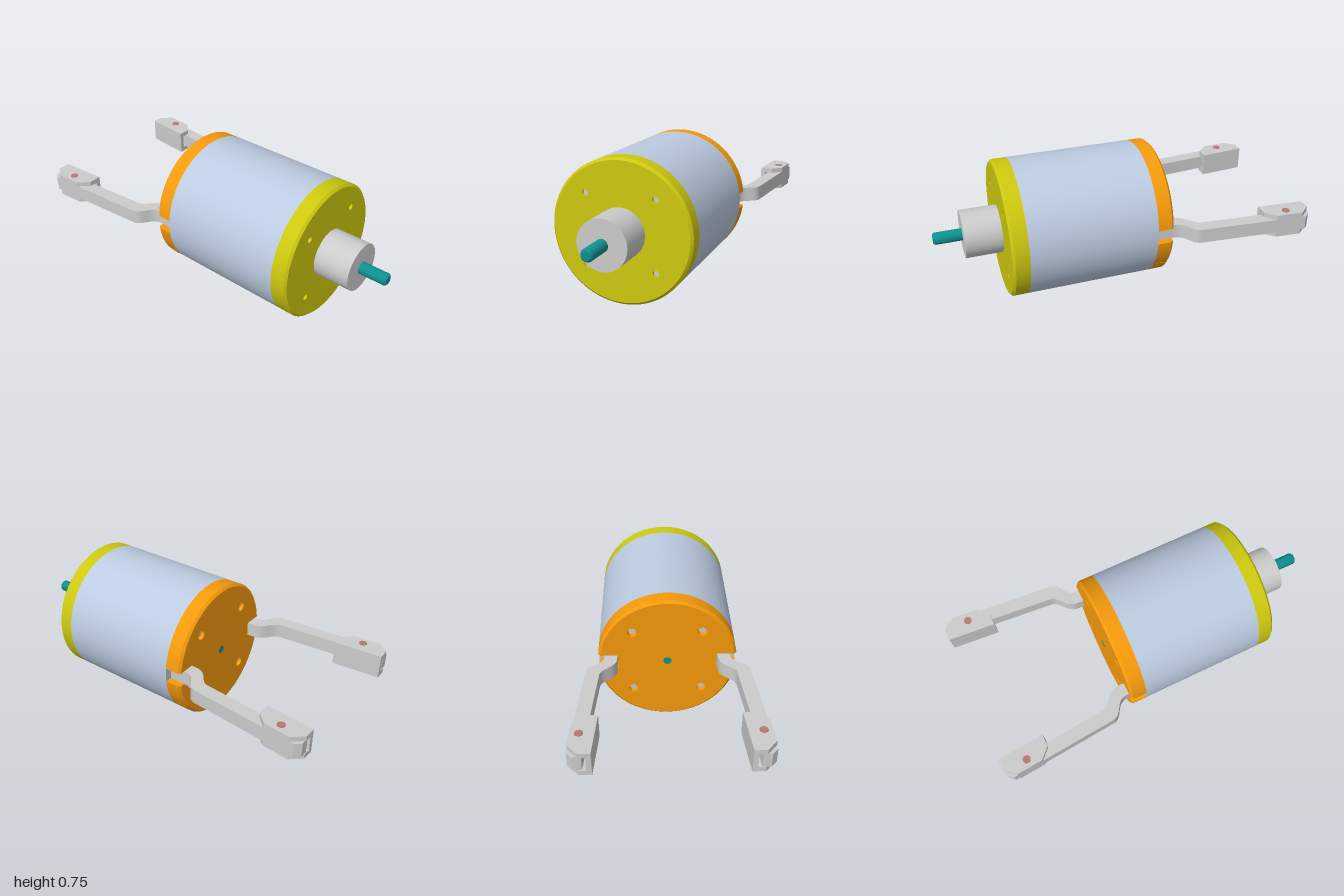
import * as THREE from 'three';
import { toCreasedNormals } from 'three/addons/utils/BufferGeometryUtils.js';

const R = 0.376, CY = 0.376; // housing radius and axis height
const mat = (color) => new THREE.MeshStandardMaterial({ color });
const grey = mat(0xcccccc), steel = mat(0xbccbe0), orange = mat(0xf59a0c);
const yellow = mat(0xcdc80f), teal = mat(0x0f9090), copper = mat(0xb87870);

export function createModel() {
  const model = new THREE.Group();
  const axis = new THREE.Group(); // everything is placed around the housing axis
  axis.name = 'gripper';
  axis.position.y = CY;
  model.add(axis);

  const add = (name, geo, material, x = 0, y = 0, z = 0) => {
    const mesh = new THREE.Mesh(geo, material);
    mesh.name = name;
    mesh.position.set(x, y, z);
    axis.add(mesh);
    return mesh;
  };
  // Cylinder along x between two positions
  const rod = (name, r, x0, x1, material, y = 0, z = 0, sides = 48) =>
    add(name, new THREE.CylinderGeometry(r, r, x1 - x0, sides).rotateZ(-Math.PI / 2), material, (x0 + x1) / 2, y, z);

  // Disc outline, optionally notched at both sides, with four bolt holes
  const plateShape = (holeR, notched) => {
    const s = new THREE.Shape();
    if (notched) {
      const w = 0.041, a = Math.asin(w / R), floor = 0.265;
      s.absarc(0, 0, R, a, Math.PI - a, false);
      s.lineTo(-floor, w);
      s.lineTo(-floor, -w);
      s.absarc(0, 0, R, Math.PI + a, 2 * Math.PI - a, false);
      s.lineTo(floor, -w);
      s.lineTo(floor, w);
      s.closePath();
    } else s.absarc(0, 0, R, 0, Math.PI * 2, false);
    for (const u of [-1, 1]) for (const v of [-1, 1]) {
      const h = new THREE.Path();
      h.absarc(u * 0.187, v * 0.186, holeR, 0, Math.PI * 2, true);
      s.holes.push(h);
    }
    return s;
  };

  // End cap: straight rim plus a chamfered outer layer; dir is the outward x direction
  const cap = (name, x, dir, shape, material) => {
    const base = 0.077, lip = 0.013;
    const make = (depth) => new THREE.ExtrudeGeometry(shape, { depth, bevelEnabled: false, curveSegments: 48 });
    const outer = make(lip), p = outer.attributes.position;
    for (let i = 0; i < p.count; i++) {
      if (p.getZ(i) > lip / 2 && Math.hypot(p.getX(i), p.getY(i)) > R - 0.005) {
        const k = (R - 0.013) / R;
        p.setXY(i, p.getX(i) * k, p.getY(i) * k);
      }
    }
    outer.translate(0, 0, base);
    [make(base), outer].forEach((g, i) => {
      g.rotateY(dir * Math.PI / 2);
      add(name + (i ? 'Face' : 'Rim'), toCreasedNormals(g, 0.5), material, x);
    });
  };

  // Housing
  rod('motorHousing', R, -0.14, 0.555, steel, 0, 0, 96);
  cap('frontCap', 0.555, 1, plateShape(0.017, false), yellow);
  cap('rearCap', -0.14, -1, plateShape(0.026, true), orange);
  rod('collar', 0.131, 0.64, 0.845, grey, 0, 0, 64);
  rod('rearShaftEnd', 0.022, -0.231, -0.15, teal);

  // Shaft with a rounded end
  const shaft = [[0, 0], [0.033, 0], [0.033, 0.147], [0.03, 0.154], [0.024, 0.159], [0, 0.16]]
    .map(([r, h]) => new THREE.Vector2(r, h));
  add('shaft', toCreasedNormals(new THREE.LatheGeometry(shaft, 40).rotateZ(-Math.PI / 2), 0.6), teal, 0.84);

  // Recessed bolts in both caps
  for (const u of [-1, 1]) for (const v of [-1, 1]) {
    rod('frontBolt', 0.0165, 0.54, 0.63, grey, v * 0.186, u * 0.187, 24);
    rod('rearBolt', 0.019, -0.215, -0.13, grey, v * 0.186, u * 0.187, 6);
  }

  // Plate drawn in x and z, extruded in y about a mid height
  const slab = (name, shape, y, h, material) => {
    const g = new THREE.ExtrudeGeometry(shape, { depth: h, bevelEnabled: false, curveSegments: 16 });
    g.rotateX(Math.PI / 2).translate(0, h / 2, 0);
    return add(name, toCreasedNormals(g, 0.5), material, 0, y, 0);
  };
  const polygon = (pts, s) => new THREE.Shape(pts.map(([x, z]) => new THREE.Vector2(x, s * z)));

  for (const s of [1, -1]) {
    // Bent arm
    const arm = new THREE.Shape();
    arm.moveTo(-0.14, s * 0.27);
    arm.lineTo(-0.14, s * 0.335);
    arm.lineTo(-0.24, s * 0.337);
    arm.bezierCurveTo(-0.32, s * 0.34, -0.3, s * 0.425, -0.37, s * 0.433);
    arm.lineTo(-0.965, s * 0.483);
    arm.lineTo(-0.995, s * 0.455);
    arm.lineTo(-0.995, s * 0.412);
    arm.lineTo(-0.4, s * 0.36);
    arm.bezierCurveTo(-0.34, s * 0.355, -0.34, s * 0.272, -0.26, s * 0.27);
    arm.closePath();
    slab('arm', arm, 0, 0.08, grey);

    // Channel-shaped finger tip: gripping web and two flanges with cut corners
    slab('fingerPad', polygon([[-0.74, 0.346], [-1, 0.367], [-1, 0.392], [-0.74, 0.371]], s), 0, 0.134, grey);
    const flange = polygon([[-0.74, 0.347], [-0.999, 0.368], [-0.999, 0.43], [-0.94, 0.481],
      [-0.795, 0.469], [-0.74, 0.415]], s);
    for (const v of [-1, 1]) slab('fingerFlange', flange, v * 0.053, 0.027, grey);

    // Hinge pin through the finger
    add('fingerPin', new THREE.CylinderGeometry(0.021, 0.021, 0.14, 24), copper, -0.865, 0, s * 0.43);

    // Set screw in the side of the rear cap
    const a = -0.63, screw = add('setScrew', new THREE.CylinderGeometry(0.028, 0.028, 0.03, 32), orange,
      -0.18, Math.sin(a) * (R - 0.014), s * Math.cos(a) * (R - 0.014));
    screw.rotation.x = s * (Math.PI / 2 - a);
  }
  return model;
}
